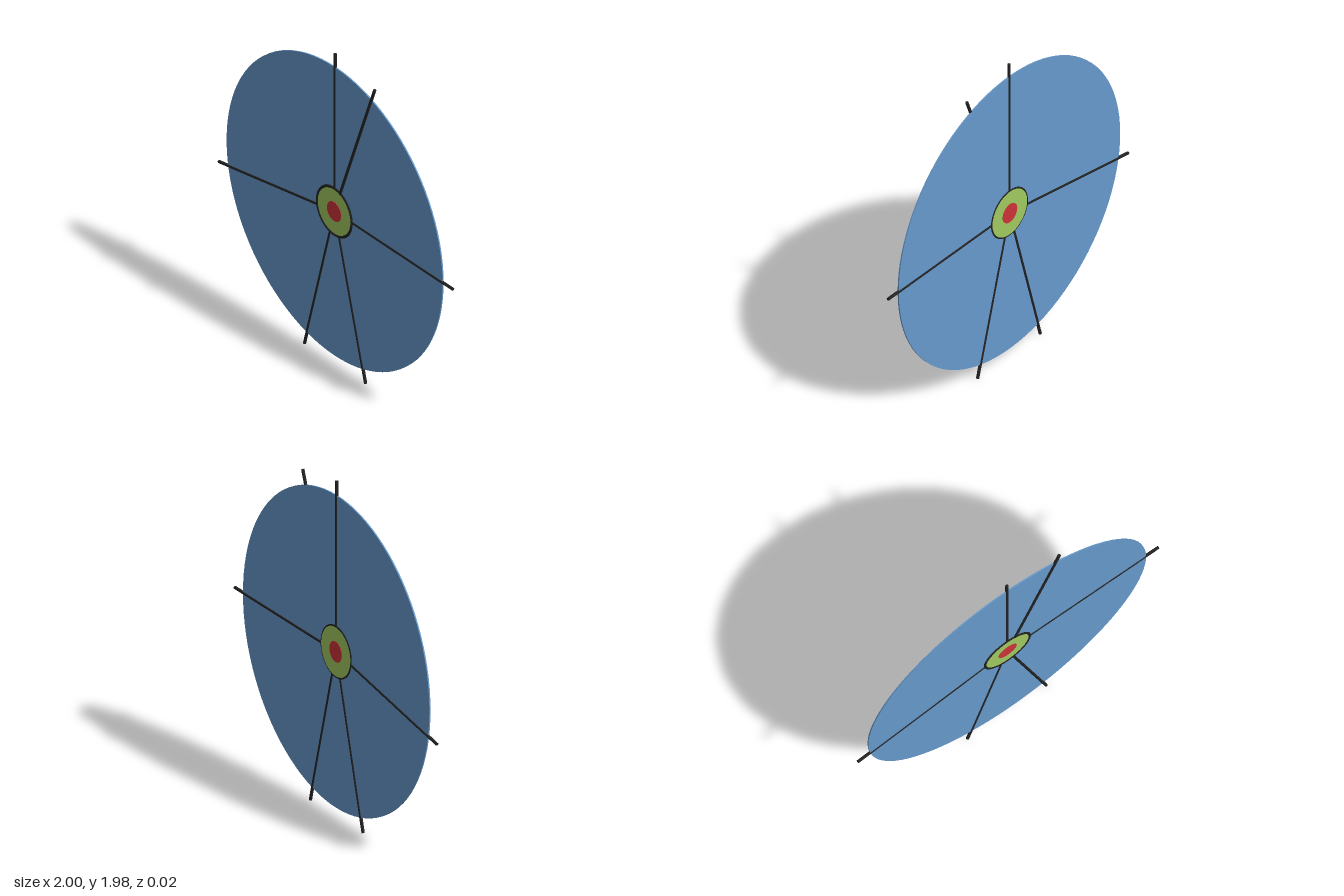
import * as THREE from 'three';

const CX = -0.008, CY = 0.98; // hub centre

const paint = (color) => new THREE.MeshStandardMaterial({ color });

// Thin round plate facing the front
function plate(name, radius, thickness, material) {
  const geometry = new THREE.CylinderGeometry(radius, radius, thickness, 96).rotateX(Math.PI / 2);
  const mesh = new THREE.Mesh(geometry, material);
  mesh.name = name;
  return mesh;
}

export function createModel() {
  const model = new THREE.Group();
  model.name = 'discWithSpokes';
  const wheel = new THREE.Group();
  wheel.name = 'wheel';
  wheel.position.set(CX, CY, 0);
  model.add(wheel);

  const black = paint(0x222222);

  // Stacked plates, each slightly thicker than the one it sits in
  wheel.add(
    plate('disc', 0.92, 0.008, paint(0x6699cc)),
    plate('hubPlate', 0.148, 0.013, paint(0xa0c960)),
    plate('hubCentre', 0.06, 0.016, paint(0xcc3338))
  );

  // Raised rim around the hub, a little towards the front
  const rim = new THREE.Mesh(new THREE.TorusGeometry(0.147, 0.009, 10, 72), black);
  rim.name = 'hubRim';
  rim.position.z = 0.002;
  wheel.add(rim);

  // Spokes: clockwise angle from straight up, and forward offset
  const spokes = [[0, 0], [20, 0.005], [90, 0], [165, 0], [195, 0], [260, 0]];
  const inner = 0.145, outer = 1.005;
  spokes.forEach(([degrees, z], i) => {
    const geometry = new THREE.CylinderGeometry(0.009, 0.009, outer - inner, 12);
    geometry.translate(0, (inner + outer) / 2, 0);
    const spoke = new THREE.Mesh(geometry, black);
    spoke.name = `spoke${i + 1}`;
    spoke.position.z = z;
    spoke.rotation.z = -THREE.MathUtils.degToRad(degrees);
    wheel.add(spoke);
  });

  return model;
}
